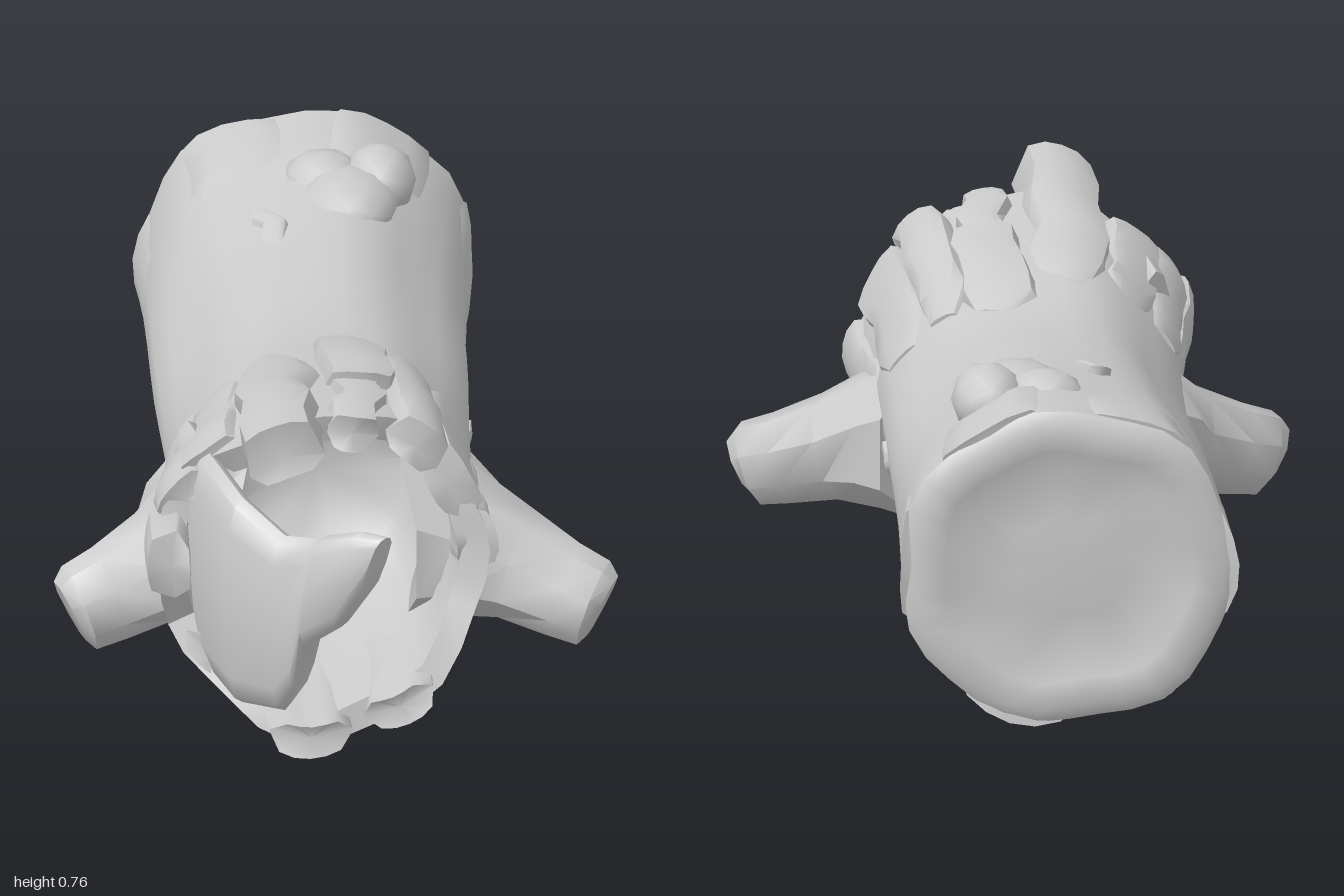
import * as THREE from 'three';
import { toCreasedNormals } from 'three/addons/utils/BufferGeometryUtils.js';

const material = new THREE.MeshStandardMaterial({ color: 0xcccccc, side: THREE.DoubleSide });
const rad = THREE.MathUtils.degToRad;
const lerp = THREE.MathUtils.lerp;

// trunk stations along z: z, half width, half height, centre height
const STATIONS = [
  [-1, 0.365, 0.355, 0.38], [-0.8, 0.355, 0.35, 0.375], [-0.5, 0.337, 0.32, 0.365], [0, 0.325, 0.298, 0.345],
  [0.3, 0.335, 0.325, 0.355], [0.6, 0.36, 0.345, 0.365], [0.9, 0.36, 0.345, 0.365],
];
// broken front edge: z for every 22.5 degrees, starting at +x and going up
const EDGE = [0.58, 0.57, 0.54, 0.6, 0.64, 0.7, 0.62, 0.66, 0.73, 0.66, 0.7, 0.78, 0.82, 0.77, 0.74, 0.6];

function seeded(seed) {
  return () => ((seed = (seed * 16807) % 2147483647) / 2147483647);
}

function station(z) {
  let i = 0;
  while (i < STATIONS.length - 2 && z > STATIONS[i + 1][0]) i++;
  const a = STATIONS[i], b = STATIONS[i + 1];
  const t = THREE.MathUtils.clamp((z - a[0]) / (b[0] - a[0]), 0, 1);
  return a.map((v, k) => lerp(v, b[k], t));
}

// point at angle a (radians) and depth z, offset outward from the trunk surface
function onTrunk(a, z, offset = 0, scale = 1) {
  const [, rx, ry, cy] = station(z);
  const bump = 0.008 * Math.sin(a * 7 + z * 2) + 0.006 * Math.sin(a * 4 - z * 5);
  return new THREE.Vector3(
    -0.035 + Math.cos(a) * (rx + bump + offset) * scale,
    cy + Math.sin(a) * (ry + bump + offset) * scale, z);
}

// closed solid through a list of rings, with fans over both ends
function loft(rings, crease = 0.75) {
  const pos = [], n = rings[0].length;
  const tri = (a, b, c) => pos.push(...a.toArray(), ...b.toArray(), ...c.toArray());
  const cap = (ring, flip) => {
    const c = ring.reduce((s, p) => s.add(p), new THREE.Vector3()).divideScalar(n);
    ring.forEach((p, i) => {
      const q = ring[(i + 1) % n];
      if (flip) tri(c, q, p); else tri(c, p, q);
    });
  };
  for (let r = 0; r < rings.length - 1; r++) {
    for (let i = 0; i < n; i++) {
      const j = (i + 1) % n, A = rings[r], B = rings[r + 1];
      tri(A[i], A[j], B[j]);
      tri(A[i], B[j], B[i]);
    }
  }
  cap(rings[0], true);
  cap(rings[rings.length - 1], false);
  // turn the faces outward if the enclosed volume is negative
  let volume = 0;
  const v = (k) => new THREE.Vector3().fromArray(pos, k);
  for (let k = 0; k < pos.length; k += 9) volume += v(k).dot(v(k + 3).cross(v(k + 6)));
  if (volume < 0) {
    for (let k = 0; k < pos.length; k += 9) {
      for (let m = 0; m < 3; m++) [pos[k + 3 + m], pos[k + 6 + m]] = [pos[k + 6 + m], pos[k + 3 + m]];
    }
  }
  const geo = new THREE.BufferGeometry();
  geo.setAttribute('position', new THREE.Float32BufferAttribute(pos, 3));
  return toCreasedNormals(geo, crease);
}

function add(group, name, geometry) {
  const mesh = new THREE.Mesh(geometry, material);
  mesh.name = name;
  group.add(mesh);
  return mesh;
}

// hollow shell: shallow back face, outer wall, broken rim, inner wall
function trunkGeometry() {
  const SIDES = 32;
  const ring = (f) => Array.from({ length: SIDES }, (_, i) => {
    const e = i / 2, k = Math.floor(e);
    return f((i / SIDES) * Math.PI * 2, lerp(EDGE[k], EDGE[(k + 1) % 16], e - k));
  });
  const rings = [
    ring((a) => onTrunk(a, -0.985, -0.24)),
    ring((a) => onTrunk(a, -0.975, -0.13)),
    ring((a) => onTrunk(a, -0.995, -0.09)),
    ring((a) => onTrunk(a, -1, -0.03)),
  ];
  for (let i = 0; i <= 12; i++) rings.push(ring((a, e) => onTrunk(a, lerp(-0.98, e, i / 12))));
  rings.push(ring((a, e) => onTrunk(a, e - 0.01, -0.06)));
  for (const [t, s] of [[0.35, 0.8], [0.7, 0.74], [0.92, 0.6], [1, 0.35]]) {
    rings.push(ring((a, e) => onTrunk(a, lerp(e, 0.08, t), 0, s)));
  }
  return loft(rings);
}

// bark plate hugging the trunk; angles in degrees, lift is its height at start and end
function plateGeometry(angle, half, z0, z1, lift0, lift1, seed) {
  const rnd = seeded(seed * 7919 + 13), rings = [], ARC = 6, STEPS = 5;
  const skew = (rnd() - 0.5) * 0.08;
  for (let s = 0; s <= STEPS; s++) {
    const t = s / STEPS;
    const lift = lerp(lift0, lift1, t) + (rnd() - 0.5) * 0.014;
    const width = half * (s === 0 ? 0.6 : 1 - 0.15 * t) * (0.93 + rnd() * 0.14);
    const mid = angle + (rnd() - 0.5) * 5;
    const ring = [];
    for (const side of [1, -1]) {
      for (let i = 0; i <= ARC; i++) {
        const u = side * ((i / ARC) * 2 - 1);
        const crown = Math.sqrt(1 - u ** 4);
        const end = s === STEPS ? Math.sign(z1 - z0) * (0.03 * u * u) : 0;
        const z = lerp(z0, z1, t) - end + (s < STEPS ? skew * u * (1 - t) : 0);
        // the last ring pulls in a little so that the end is blunt
        const top = s === STEPS ? 0.85 : 1;
        ring.push(onTrunk(rad(mid + u * width), z, side > 0 ? -0.03 + (lift + 0.03) * crown * top : -0.035 - 0.035 * crown));
      }
    }
    rings.push(ring);
  }
  return loft(rings, 0.9);
}

// flared branch stub on one side
function branchGeometry(side) {
  const SIDES = 8, rings = [], shift = side < 0 ? 0.05 : 0;
  // x, y, z of the centre, radius in height and depth, backward bend of top and bottom
  const path = [[0.25, 0.3, 0.29, 0.21, 0.23, 0.1], [0.31, 0.28, 0.31, 0.165, 0.18, 0.05],
    [0.39, 0.235, 0.35, 0.115, 0.12, 0], [0.49, 0.195, 0.4, 0.1, 0.09, 0], [0.555, 0.175, 0.43, 0.092, 0.08, 0],
    [0.575, 0.17, 0.435, 0.065, 0.055, 0]];
  path.forEach(([x, y, z, ry, rz, bend], k) => {
    const cx = x + (k < 2 ? shift : 0);
    rings.push(Array.from({ length: SIDES }, (_, i) => {
      const a = ((i + 0.5) / SIDES) * Math.PI * 2, c = Math.cos(a), s = Math.sin(a);
      const tilt = k > 1 ? 0.03 * s : 0;
      return new THREE.Vector3(side * (cx + tilt - 0.3 * rz * c - bend * s * s), y + ry * s, z + rz * c);
    }));
  });
  return loft(rings, 0.8);
}

// tall torn sheet curling from the inner left wall across the opening
function splinterGeometry() {
  // x, z of the spine, lower and upper height, thickness
  const spine = [[-0.32, 0.4, 0.16, 0.6, 0.05], [-0.28, 0.62, 0.13, 0.62, 0.05], [-0.21, 0.78, 0.1, 0.58, 0.05],
    [-0.12, 0.85, 0.11, 0.52, 0.045], [-0.07, 0.885, 0.17, 0.53, 0.045], [-0.05, 0.9, 0.28, 0.545, 0.045],
    [0.02, 0.94, 0.34, 0.57, 0.04], [0.075, 0.965, 0.43, 0.565, 0.03]];
  return loft(spine.map(([x, z, lo, hi, th]) => {
    const ring = [];
    for (let i = 0; i < 12; i++) {
      const a = (i / 12) * Math.PI * 2;
      const c = Math.cos(a), s = Math.sign(Math.sin(a)) * Math.sqrt(Math.abs(Math.sin(a)));
      const lean = x > -0.1 ? 0.02 * s : 0;
      ring.push(new THREE.Vector3(x - th * 0.7 * c + lean, (lo + hi) / 2 + ((hi - lo) / 2) * s, z + th * 0.7 * c + lean * 0.4));
    }
    return ring;
  }), 0.9);
}

// builds a named group of plates from rows of plate sizes
function plates(name, part, seed, rows) {
  const group = new THREE.Group();
  group.name = name;
  rows.forEach((row, i) => add(group, part, plateGeometry(...row, seed + i)));
  return group;
}

export function createModel() {
  const model = new THREE.Group();
  model.name = 'hollowLog';
  add(model, 'trunk', trunkGeometry());

  // rows: angle, half width, z start, z end, lift start, lift end
  model.add(plates('brokenStaves', 'stave', 1, [
    [106, 19, 0.18, 0.81, 0, 0.07], [76, 18, 0.04, 0.42, 0.01, 0.055], [77, 11, 0.25, 0.66, 0.02, 0.025],
    [55, 14, 0.1, 0.62, 0.01, 0.04], [32, 20, 0.12, 0.59, 0, 0.03], [4, 16, 0.2, 0.58, 0, 0.025],
    [132, 16, 0.2, 0.63, 0, 0.03], [152, 16, 0.22, 0.66, 0, 0.02], [173, 16, 0.3, 0.77, 0, 0.035],
    [222, 18, 0.2, 0.7, -0.02, 0], [263, 18, 0.25, 0.88, -0.02, 0.005], [302, 17, 0.3, 0.83, -0.02, 0.005],
  ]));
  model.add(plates('backBark', 'barkLobe', 31, [
    [62, 28, -0.5, -0.99, -0.015, 0.018], [118, 29, -0.55, -0.98, -0.015, 0.016], [178, 31, -0.5, -0.995, -0.015, 0.015],
    [235, 28, -0.5, -0.98, -0.015, 0.01], [290, 29, -0.5, -0.99, -0.015, 0.01], [2, 31, -0.55, -0.995, -0.015, 0.015],
  ]));
  model.add(plates('barkSnags', 'snag', 51, [
    [-2, 8, 0.06, -0.14, -0.01, 0.022], [105, 7, -0.3, -0.54, -0.02, 0.025], [235, 7, 0.1, 0.32, -0.01, 0.03],
  ]));

  // low heart-shaped knot on top near the back
  const knot = new THREE.Group();
  knot.name = 'knot';
  for (const [x, y, z, sx, sy, sz] of [[0.12, 0.68, -0.72, 0.08, 0.08, 0.1], [0, 0.68, -0.72, 0.09, 0.065, 0.09], [0.05, 0.66, -0.64, 0.11, 0.075, 0.15]]) {
    const knob = add(knot, 'knob', toCreasedNormals(new THREE.IcosahedronGeometry(1, 1), 0.8));
    knob.position.set(x, y, z);
    knob.scale.set(sx, sy, sz);
  }
  model.add(knot);

  add(model, 'leftBranch', branchGeometry(1));
  add(model, 'rightBranch', branchGeometry(-1));
  add(model, 'curledSplinter', splinterGeometry());
  return model;
}
